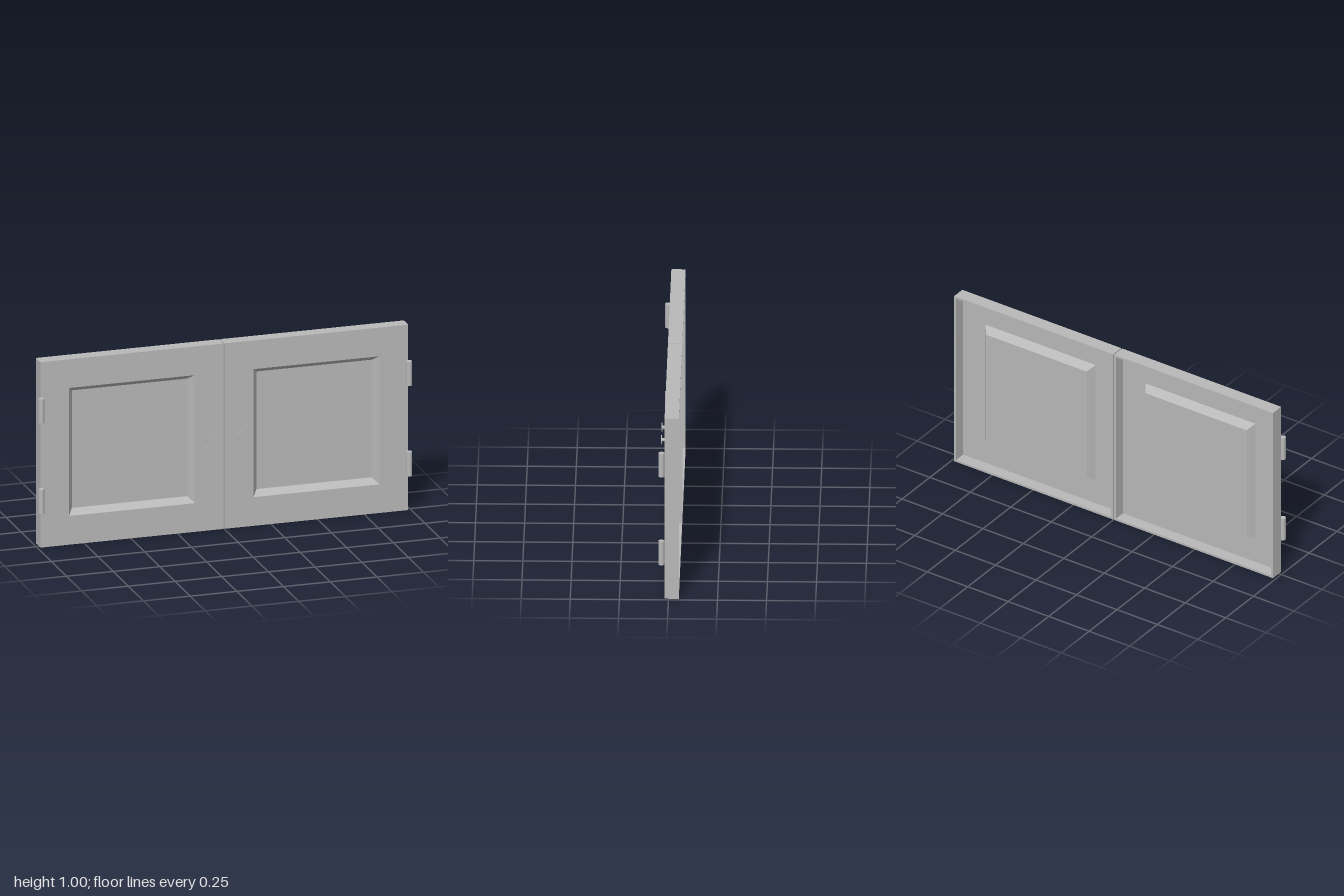
import * as THREE from 'three';

const W = 0.982, H = 0.995;

// Corners of a rectangle inset from the door outline, counter-clockwise from the front
function ring([inset, z]) {
  const x = W / 2 - inset, lo = inset, hi = H - inset;
  return [[-x, lo, z], [x, lo, z], [x, hi, z], [-x, hi, z]];
}

// Door skin: nested rectangles joined from the back centre, round the rim, to the front centre
function doorGeometry() {
  const rings = [
    [0.180, -0.030], [0.151, 0.010],  // raised back of the panel
    [0.012, 0.010], [0.012, -0.053],  // hollow inside the rim
    [0, -0.053], [0, 0.020],          // rim
    [0.154, 0.020], [0.182, -0.020],  // sloped front recess
  ].map(ring);
  const pos = [];
  const quad = (a, b, c, d) => pos.push(...a, ...b, ...c, ...a, ...c, ...d);
  for (let r = 0; r < rings.length - 1; r++) {
    for (let i = 0; i < 4; i++) {
      const j = (i + 1) % 4;
      quad(rings[r][i], rings[r][j], rings[r + 1][j], rings[r + 1][i]);
    }
  }
  quad(...rings[0].slice().reverse());
  quad(...rings[rings.length - 1]);
  const geo = new THREE.BufferGeometry();
  geo.setAttribute('position', new THREE.Float32BufferAttribute(pos, 3));
  geo.computeVertexNormals();
  return geo;
}

export function createModel() {
  const grey = new THREE.MeshStandardMaterial({ color: 0xb8b8b8 });
  grey.name = 'plain grey';
  const model = new THREE.Group();
  model.name = 'cabinetDoors';

  const add = (parent, name, geo, x, y, z) => {
    const mesh = new THREE.Mesh(geo, grey);
    mesh.name = name;
    mesh.position.set(x, y, z);
    parent.add(mesh);
  };

  const door = doorGeometry();
  const hinge = new THREE.CylinderGeometry(0.0155, 0.0155, 0.13, 20);
  const stem = new THREE.CylinderGeometry(0.009, 0.009, 0.032, 20).rotateX(Math.PI / 2);
  const disc = new THREE.CylinderGeometry(0.025, 0.025, 0.004, 28).rotateX(Math.PI / 2);

  for (const side of [-1, 1]) {
    const half = new THREE.Group();
    half.name = side > 0 ? 'leftDoor' : 'rightDoor';
    model.add(half);
    add(half, 'doorPanel', door, side * 0.494, 0, 0);
    for (const y of [0.255, 0.74]) add(half, 'hinge', hinge, side * 0.9845, y, 0.036);
    add(half, 'knobStem', stem, side * 0.082, 0.5, 0.035);
    add(half, 'knobDisc', disc, side * 0.082, 0.5, 0.051);
  }
  return model;
}
